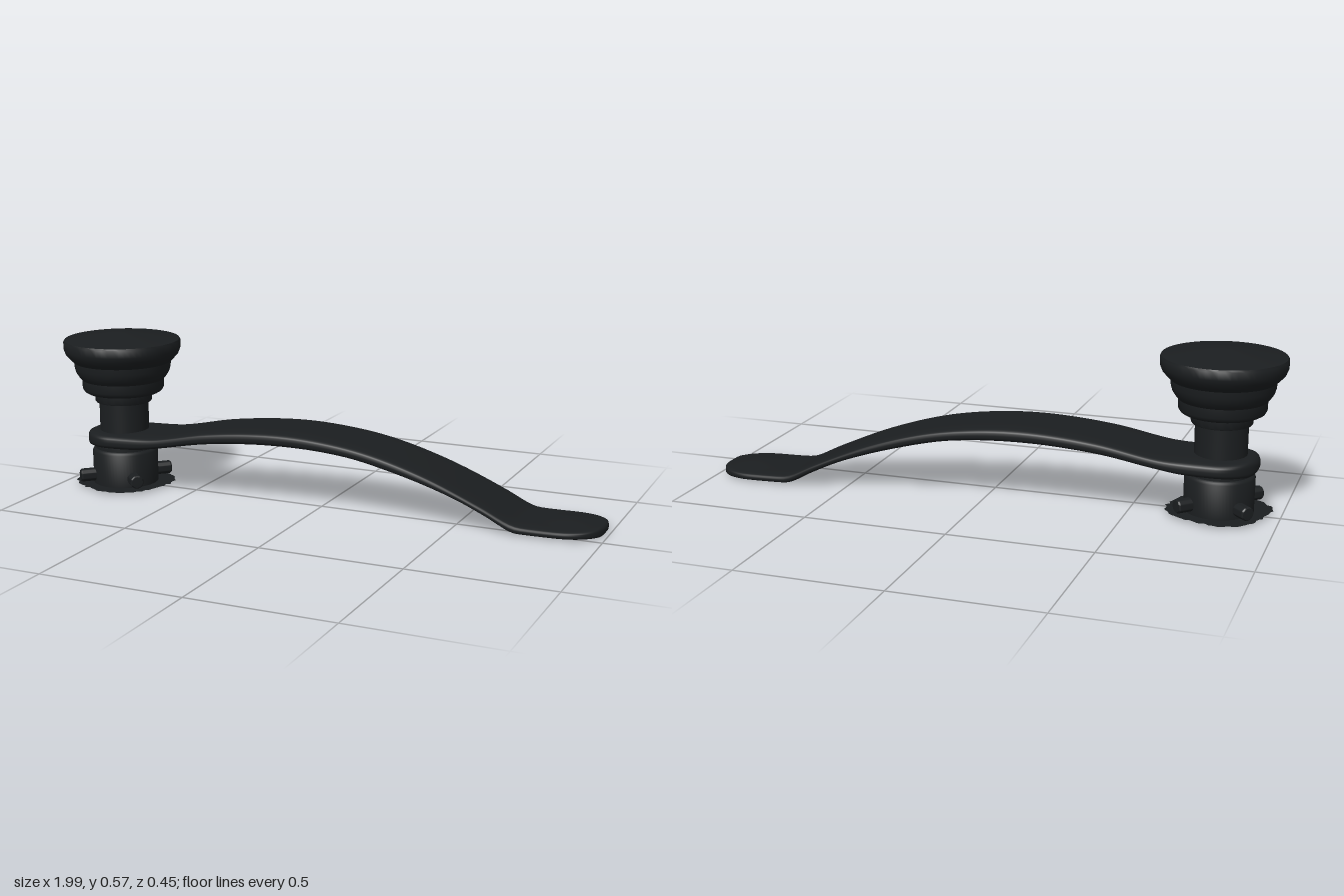
import * as THREE from 'three';
import { toCreasedNormals } from 'three/addons/utils/BufferGeometryUtils.js';

const HUB_X = -0.79, HUB_Z = 0.01;
const material = new THREE.MeshStandardMaterial({ color: 0x1b1e20, side: THREE.DoubleSide });

function addMesh(parent, name, geometry) {
  const mesh = new THREE.Mesh(geometry, material);
  mesh.name = name;
  parent.add(mesh);
  return mesh;
}

function lathe(points, crease = 0.6) {
  const profile = points.map(([r, y]) => new THREE.Vector2(r, y));
  return toCreasedNormals(new THREE.LatheGeometry(profile, 64), crease);
}

// Smooth height curve through [x, y] points, sampled by x
function heightCurve(points) {
  return (x) => {
    let i = 0;
    while (i < points.length - 2 && x > points[i + 1][0]) i++;
    const at = (k) => points[Math.min(Math.max(k, 0), points.length - 1)];
    const slope = (k) => (at(k + 1)[1] - at(k - 1)[1]) / (at(k + 1)[0] - at(k - 1)[0]);
    const [x0, y0] = at(i), [x1, y1] = at(i + 1), h = x1 - x0;
    const t = THREE.MathUtils.clamp((x - x0) / h, 0, 1), s = 1 - t;
    return (1 + 2 * t) * s * s * y0 + t * s * s * h * slope(i)
      + t * t * (3 - 2 * t) * y1 - t * t * s * h * slope(i + 1);
  };
}

// Arched lever: rounded cross-sections swept along x, both ends rounded in plan
function leverGeometry() {
  const top = heightCurve([[-0.92, 0.205], [-0.7, 0.207], [-0.6, 0.212], [-0.4, 0.25], [-0.18, 0.27],
    [0, 0.265], [0.2, 0.235], [0.4, 0.175], [0.6, 0.09], [0.7, 0.042], [0.75, 0.034], [1, 0.034]]);
  const bottom = heightCurve([[-0.92, 0.145], [-0.7, 0.15], [-0.6, 0.165], [-0.4, 0.2], [-0.15, 0.217],
    [0.1, 0.205], [0.3, 0.162], [0.5, 0.1], [0.62, 0.046], [0.7, 0.004], [0.74, 0], [1, 0]]);
  const x0 = -0.922, x1 = 0.99, rows = 120, sides = 40;
  const positions = [], index = [];
  for (let i = 0; i <= rows; i++) {
    const u = i / rows;
    const x = x0 + (x1 - x0) * (u - 0.9 * Math.sin(2 * Math.PI * u) / (2 * Math.PI));
    const hubEnd = Math.min((x - x0) / 0.132, 1), tipEnd = Math.min((x1 - x) / 0.15, 1);
    const plan = Math.sqrt(1 - (1 - hubEnd) ** 2) * (1 - (1 - tipEnd) ** 2.3) ** (1 / 2.3);
    const half = Math.max(0.135 * plan, 0.0005);
    const edge = Math.min((x - x0) / 0.03, (x1 - x) / 0.015, 1);
    const round = Math.max(Math.sqrt(Math.max(1 - (1 - edge) ** 2, 0)), 0.02);
    const mid = (top(x) + bottom(x)) / 2, thick = (top(x) - bottom(x)) / 2 * round;
    const centre = 0.002 - 0.0575 * (x + 0.79);
    for (let j = 0; j < sides; j++) {
      const a = (j / sides) * Math.PI * 2, c = Math.cos(a), s = Math.sin(a);
      const across = Math.sign(c) * Math.abs(c) ** 0.45;
      const up = Math.sign(s) * Math.abs(s) ** 0.6;
      const z = centre + half * across;
      // Low dome on the finger pad
      const d = Math.hypot((x - 0.87) / 0.1, (z - centre) / 0.09);
      const dome = s > 0 && d < 1 ? 0.011 * (1 - d * d) ** 2 : 0;
      positions.push(x, mid + thick * up + dome, z);
    }
  }
  for (let i = 0; i < rows; i++) {
    for (let j = 0; j < sides; j++) {
      const a = i * sides + j, b = i * sides + (j + 1) % sides;
      index.push(a, b, a + sides, b, b + sides, a + sides);
    }
  }
  const geometry = new THREE.BufferGeometry();
  geometry.setAttribute('position', new THREE.Float32BufferAttribute(positions, 3));
  geometry.setIndex(index);
  geometry.computeVertexNormals();
  return geometry;
}

// Thin ragged skirt around the foot of the base
function skirtGeometry() {
  let seed = 7;
  const random = () => (seed = (seed * 16807) % 2147483647) / 2147483647;
  const shape = new THREE.Shape();
  const teeth = 72;
  for (let i = 0; i < teeth; i++) {
    const a = (i / teeth) * Math.PI * 2;
    const r = 0.172 + 0.008 * Math.sin(4 * a) + 0.014 * (random() - 0.5);
    if (i) shape.lineTo(r * Math.cos(a), r * Math.sin(a));
    else shape.moveTo(r, 0);
  }
  shape.closePath();
  shape.holes.push(new THREE.Path().absarc(0, 0, 0.112, 0, Math.PI * 2, true));
  return new THREE.ShapeGeometry(shape, 32).rotateX(-Math.PI / 2);
}

export function createModel() {
  const model = new THREE.Group();
  model.name = 'leverHandle';
  const hub = new THREE.Group();
  hub.name = 'hub';
  hub.position.set(HUB_X, 0, HUB_Z);
  model.add(hub);

  // Stepped, flared knob with a shallow cone on top
  addMesh(hub, 'knob', lathe([
    [0.088, 0.31], [0.1, 0.31], [0.103, 0.315], [0.104, 0.34], [0.115, 0.343],
    [0.131, 0.345], [0.141, 0.351], [0.147, 0.362], [0.148, 0.393], [0.157, 0.403],
    [0.168, 0.42], [0.173, 0.437], [0.175, 0.458], [0.188, 0.47], [0.203, 0.487],
    [0.21, 0.505], [0.211, 0.532], [0.207, 0.539], [0.12, 0.553], [0.035, 0.565], [0, 0.567],
  ]));
  addMesh(hub, 'neck', new THREE.CylinderGeometry(0.089, 0.089, 0.19, 48, 1, true).translate(0, 0.235, 0));

  // Base drum, hollow underneath with a small centre bore
  addMesh(hub, 'base', lathe([
    [0.012, 0.08], [0.012, 0.035], [0.096, 0.03], [0.1, 0.008], [0.118, 0.008],
    [0.119, 0.127], [0.115, 0.134], [0.107, 0.138], [0.107, 0.15], [0.09, 0.155],
  ]));
  addMesh(hub, 'bore', new THREE.CircleGeometry(0.012, 20).rotateX(Math.PI / 2).translate(0, 0.08, 0));
  addMesh(hub, 'baseSkirt', skirtGeometry()).position.y = 0.008;

  // Four set screws around the base
  for (let i = 0; i < 4; i++) {
    const screw = addMesh(hub, 'setScrew', lathe([
      [0.024, 0.09], [0.024, 0.165], [0.02, 0.17], [0, 0.171],
    ]));
    screw.rotation.set(Math.PI / 2, 0, -(Math.PI / 4 + i * Math.PI / 2));
    screw.position.y = 0.041;
  }

  addMesh(model, 'lever', leverGeometry());
  return model;
}
